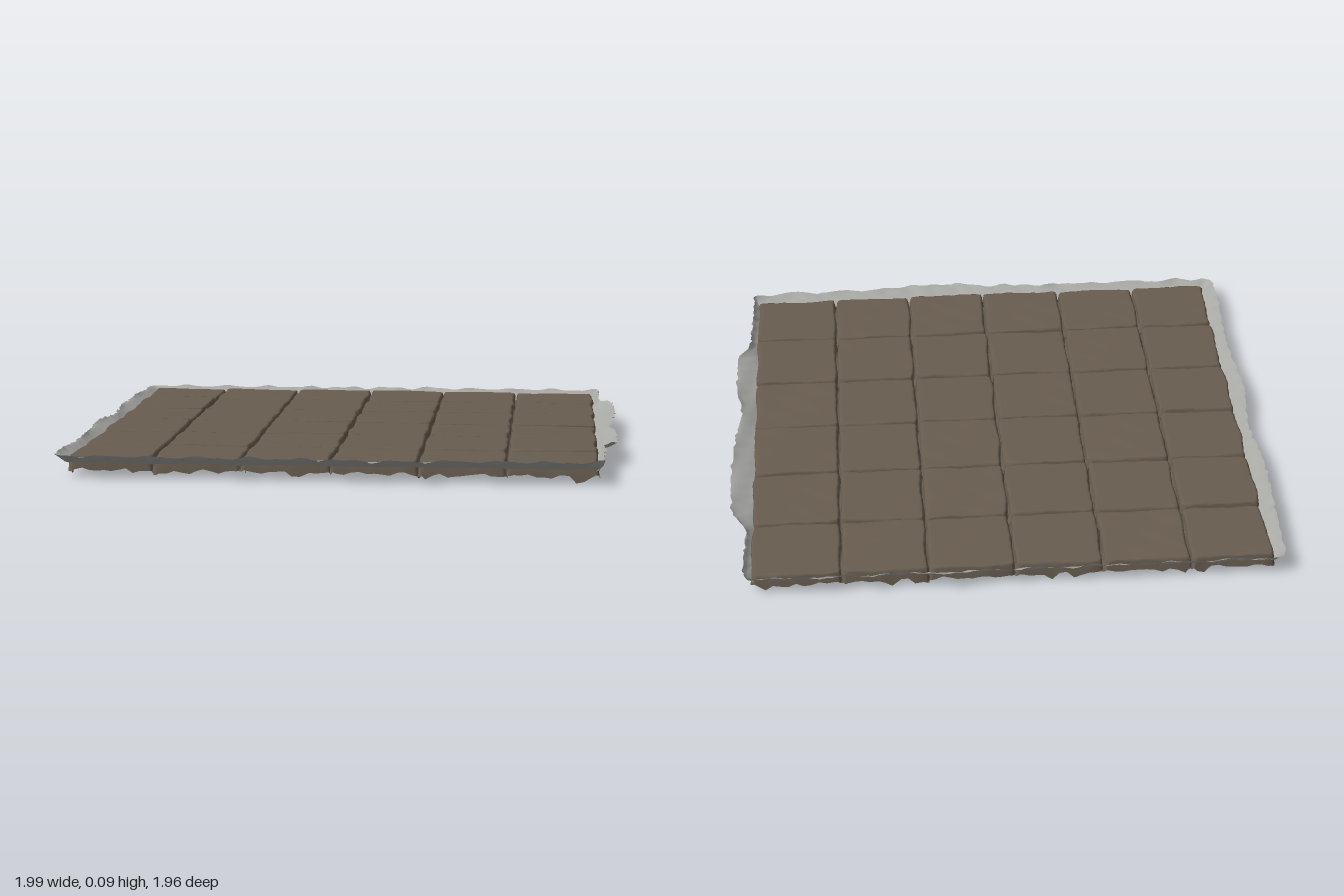
import * as THREE from 'three';

// Groove positions between the six columns and six rows, with the outer edges
const COLS = [-0.937, -0.642, -0.333, -0.02, 0.283, 0.587, 0.907];
const ROWS = [-0.93, -0.63, -0.322, -0.015, 0.29, 0.602, 0.902];

// Smooth repeatable wobble, about -1 to 1
const wobble = (a, b) =>
  0.5 * Math.sin(9.1 * a + 4.3 * b + 1) + 0.3 * Math.sin(23 * b - 17 * a) + 0.2 * Math.sin(61 * a + 53 * b + 2);
const hash = (i, j) => {
  const s = Math.sin(i * 127.1 + j * 311.7) * 43758.5453;
  return (s - Math.floor(s)) * 2 - 1;
};

// Sample positions along an axis, packed closely beside each groove
function samples(edges) {
  const near = [0, 0.004, 0.008, 0.013, 0.022];
  const list = [];
  for (let c = 0; c < 6; c++) {
    const a = edges[c], b = edges[c + 1];
    for (const n of near) list.push({ c, p: a + n, d: n });
    for (let k = 1; k < 10; k++) {
      const p = a + 0.022 + (b - a - 0.044) * k / 10;
      list.push({ c, p, d: Math.min(p - a, b - p) });
    }
    for (const n of near.slice(1).reverse()) list.push({ c, p: b - n, d: n });
  }
  list.push({ c: 5, p: edges[6], d: 0 });
  return list;
}

// Grid of points to an indexed, smooth surface
function surface(rows, upward) {
  const w = rows[0].length, index = [];
  for (let j = 0; j < rows.length - 1; j++) {
    for (let i = 0; i < w - 1; i++) {
      const a = j * w + i, b = a + 1, c = a + w, d = c + 1;
      if (upward) index.push(a, c, b, b, c, d);
      else index.push(a, b, c, b, d, c);
    }
  }
  const g = new THREE.BufferGeometry();
  g.setAttribute('position', new THREE.Float32BufferAttribute(rows.flat(2), 3));
  g.setIndex(index);
  g.computeVertexNormals();
  return g;
}

// One sheet of worn stone tiles with grooves sunk between them
function stoneSheet() {
  const xs = samples(COLS), zs = samples(ROWS);
  return surface(zs.map((v) => xs.map((u) => {
    const x = u.p, z = v.p, i = u.c, j = v.c;
    const cx = (COLS[i] + COLS[i + 1]) / 2, cz = (ROWS[j] + ROWS[j + 1]) / 2;
    // Tile top: own height, a slight tilt and soft wear
    const top = 0.071 - 0.004 * x + 0.003 * hash(i, j) + 0.0012 * wobble(2 * x, 2 * z)
      + 0.012 * hash(i + 9, j) * (x - cx) + 0.012 * hash(i, j + 9) * (z - cz);
    // Groove floor: ragged, with occasional deep pits
    const pit = Math.max(0, wobble(3 * z + 1, 3 * x) - 0.35);
    const floor = Math.max(0, 0.026 + 0.01 * wobble(5 * x, 4 * z) - 0.04 * pit);
    // Rounded tile edge, meeting its neighbours at the corners
    const width = 0.010 + 0.005 * wobble(2 * z, 3 * x);
    const corner = Math.max(0, 0.02 - Math.hypot(u.d, v.d)) * 0.4;
    const d = Math.min(1, Math.max(0, Math.min(u.d, v.d) - corner) / width);
    const rise = Math.sqrt(1 - (1 - d) ** 2);
    return [
      x + 0.005 * wobble(z * 2, i + 3 * x), floor + (top - floor) * rise,
      z + 0.005 * wobble(x * 2 + 5, j + 3 * z),
    ];
  })), true);
}

// Ragged mortar rim, flaring outward and slightly up around the whole floor
function mortarRim() {
  const x0 = COLS[0], x1 = COLS[6], z0 = ROWS[0], z1 = ROWS[6], n = 90;
  // Rim width on each side
  const bump = (v, c, r) => Math.exp(-(((v - c) / r) ** 2));
  const step = (v, e) => 1 / (1 + Math.exp(-(v - e) * 60));
  const reach = [
    (x) => 0.03 + 0.02 * bump(x, 0.21, 0.04) + 0.006 * bump(x, 0.66, 0.1),
    (z) => 0.02 + 0.056 * step(z, -0.62) * (1 - step(z, 0.5)) - 0.03 * bump(z, 0.08, 0.12),
    (x) => 0.04 + 0.03 * bump(x, 0.17, 0.2) - 0.025 * step(x, 0.88),
    (z) => 0.045 + 0.008 * Math.sin(9 * z),
  ];
  const sides = [
    { a: [x0, z0], b: [x1, z0], out: [0, -1] },
    { a: [x1, z0], b: [x1, z1], out: [1, 0] },
    { a: [x1, z1], b: [x0, z1], out: [0, 1] },
    { a: [x0, z1], b: [x0, z0], out: [-1, 0] },
  ];
  const rings = [[], [], [], []];
  const levels = [[-0.012, 0.045], [0.25, 0.058], [0.65, 0.07], [1, 0.08]];
  const add = (x, z, ox, oz, w) => {
    const rag = 0.008 * wobble(3 * x + 2, 3 * z) + 0.004 * wobble(11 * z, 9 * x);
    levels.forEach(([f, y], k) => {
      const r = k === 0 ? f : f * Math.max(0.008, w + rag);
      rings[k].push([x + ox * r, y + 0.007 * wobble(4 * x + k, 4 * z) * (k ? 1 : 0.5), z + oz * r]);
    });
  };
  sides.forEach(({ a, b, out }, s) => {
    for (let k = 0; k <= n; k++) {
      const x = a[0] + (b[0] - a[0]) * k / n, z = a[1] + (b[1] - a[1]) * k / n;
      add(x, z, out[0], out[1], reach[s](out[0] ? z : x));
    }
    // Rounded corner into the next side
    const next = sides[(s + 1) % 4].out;
    const wa = reach[s](out[0] ? b[1] : b[0]), wb = reach[(s + 1) % 4](next[0] ? b[1] : b[0]);
    for (let k = 1; k < 5; k++) {
      const t = k / 5, c = Math.cos(t * Math.PI / 2), q = Math.sin(t * Math.PI / 2);
      add(b[0], b[1], out[0] * c + next[0] * q, out[1] * c + next[1] * q, wa + (wb - wa) * t);
    }
  });
  rings.forEach((r) => r.push([...r[0]]));
  return surface(rings, false);
}

export function createModel() {
  const stone = new THREE.MeshStandardMaterial({ color: 0x685d4f, side: THREE.DoubleSide });
  stone.name = 'brown stone';
  const mortar = new THREE.MeshStandardMaterial({ color: 0xa9a9a6, side: THREE.DoubleSide });
  mortar.name = 'grey mortar';

  const model = new THREE.Group();
  model.name = 'tiledFloor';
  const tiles = new THREE.Mesh(stoneSheet(), stone);
  tiles.name = 'stoneTiles';
  const rim = new THREE.Mesh(mortarRim(), mortar);
  rim.name = 'mortarRim';
  model.add(tiles, rim);
  return model;
}
